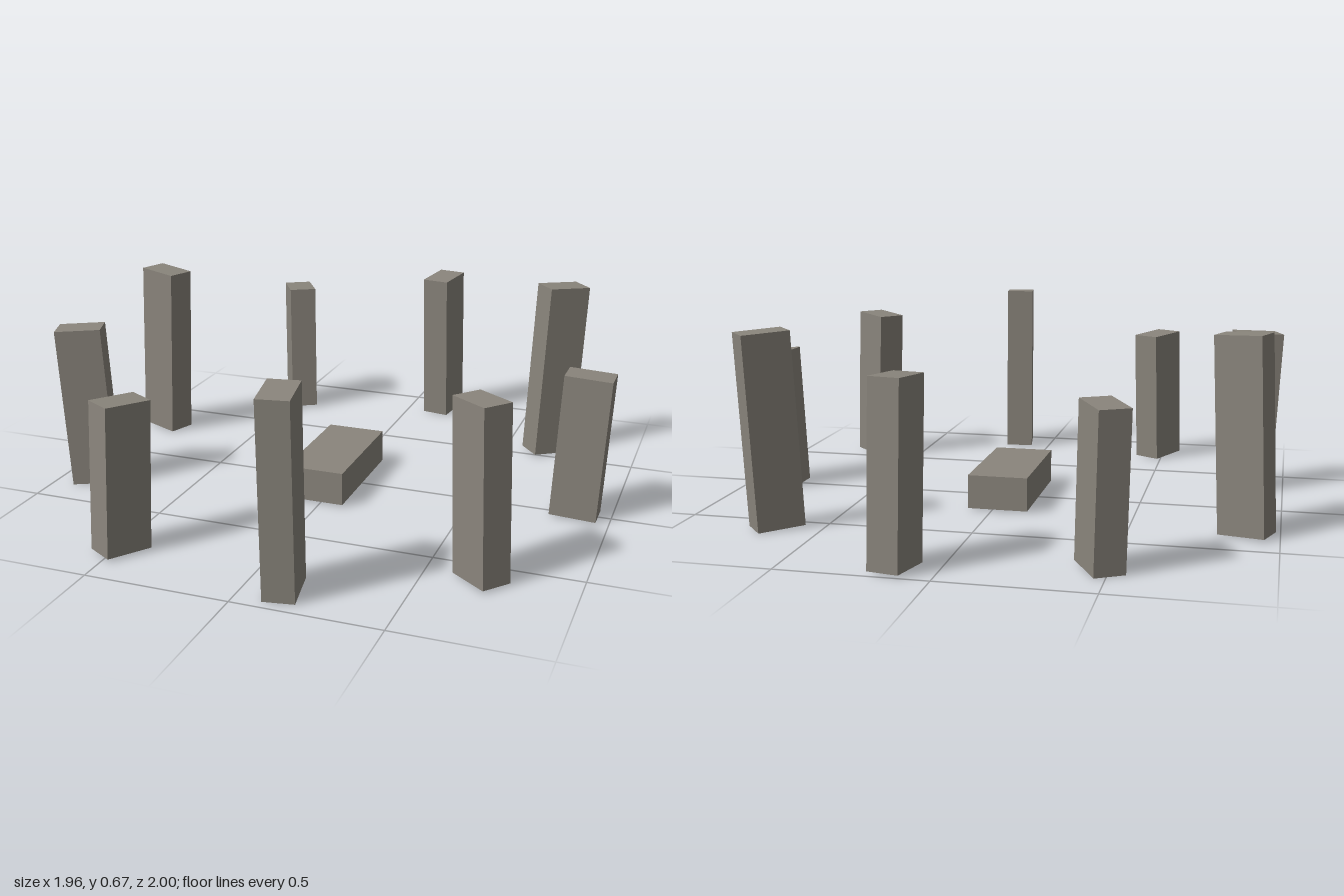
import * as THREE from 'three';

export function createModel() {
  const model = new THREE.Group();
  model.name = 'stoneCircle';
  const stone = new THREE.MeshStandardMaterial({ color: 0x8a857c });
  stone.name = 'greyStone';

  const count = 9, radius = 0.907, centreX = -0.022, base = 0.004, tilt = 0.05;
  const heights = [0.513, 0.589, 0.664];

  // ring of standing stones, leaning alternately outward and inward
  for (let i = 0; i < count; i++) {
    const angle = (i / count) * Math.PI * 2;
    const h = heights[i % 3];
    const holder = new THREE.Group();
    holder.name = `standingStone${i + 1}`;
    holder.position.set(centreX + radius * Math.cos(angle), base + h / 2, radius * Math.sin(angle));
    holder.rotation.y = -angle; // local x points away from the centre
    const block = new THREE.Mesh(new THREE.BoxGeometry(0.164, h, 0.105), stone);
    block.name = 'stoneBlock';
    block.rotation.z = i % 2 ? tilt : -tilt;
    holder.add(block);
    model.add(holder);
  }

  // low altar slab in the middle
  const altar = new THREE.Mesh(new THREE.BoxGeometry(0.214, 0.12, 0.452), stone);
  altar.name = 'altarSlab';
  altar.position.set(centreX, base + 0.062, 0);
  model.add(altar);

  return model;
}
